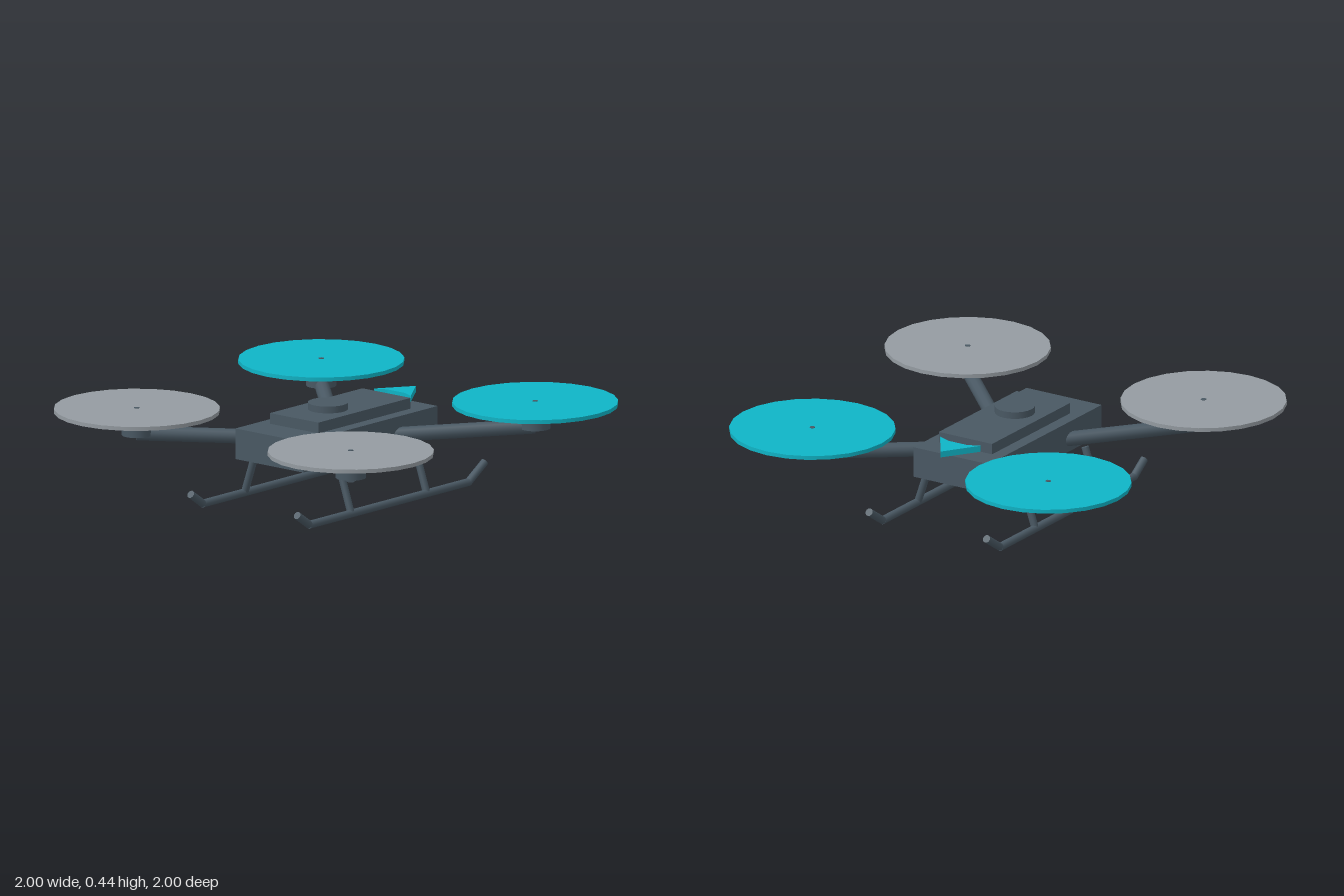
import * as THREE from 'three';

export function createModel() {
  const model = new THREE.Group();
  model.name = 'quadcopter';

  const material = (name, color) => {
    const m = new THREE.MeshStandardMaterial({ color });
    m.name = name;
    return m;
  };
  const slate = material('slate', 0x495863);
  const cyan = material('cyan', 0x0fb4c6);
  const grey = material('grey', 0x949ba1);

  const add = (name, geometry, mat, x = 0, y = 0, z = 0) => {
    const mesh = new THREE.Mesh(geometry, mat);
    mesh.name = name;
    mesh.position.set(x, y, z);
    model.add(mesh);
    return mesh;
  };

  // Round bar between two points
  const bar = (name, from, to, radius) => {
    const a = new THREE.Vector3(...from);
    const b = new THREE.Vector3(...to);
    const dir = b.clone().sub(a);
    const mesh = add(name, new THREE.CylinderGeometry(radius, radius, dir.length(), 12), slate);
    mesh.position.copy(a).add(b).multiplyScalar(0.5);
    mesh.quaternion.setFromUnitVectors(new THREE.Vector3(0, 1, 0), dir.normalize());
    return mesh;
  };

  // Body, raised deck and round sensor cap
  add('body', new THREE.BoxGeometry(0.4, 0.14, 0.915), slate, 0, 0.296, -0.003);
  add('deck', new THREE.BoxGeometry(0.284, 0.05, 0.63), slate, 0, 0.39, -0.03);
  add('sensorCap', new THREE.CylinderGeometry(0.09, 0.09, 0.032, 24), slate, 0, 0.43, 0.055);

  // Arrow marker pointing to the rear
  const arrow = new THREE.Shape([
    [0, 0.545], [-0.108, 0.385], [-0.05, 0.41], [0.05, 0.41], [0.108, 0.385],
  ].map(([x, y]) => new THREE.Vector2(x, y)));
  const arrowGeometry = new THREE.ExtrudeGeometry(arrow, { depth: 0.028, bevelEnabled: false });
  arrowGeometry.rotateX(-Math.PI / 2);
  add('rearArrow', arrowGeometry, cyan, 0, 0.384, 0);

  // Arms, motors and rotor discs at the four corners
  const r = 0.629;
  for (const sx of [-1, 1]) {
    for (const sz of [-1, 1]) {
      bar('arm', [sx * 0.15, 0.279, sz * 0.16], [sx * r, 0.31, sz * r], 0.033);
      add('motor', new THREE.CylinderGeometry(0.068, 0.068, 0.1, 20), slate, sx * r, 0.352, sz * r);
      add('shaft', new THREE.CylinderGeometry(0.013, 0.013, 0.04, 8), slate, sx * r, 0.407, sz * r);
      add('rotorDisc', new THREE.CylinderGeometry(0.371, 0.371, 0.018, 24),
        sz > 0 ? grey : cyan, sx * r, 0.416, sz * r);
    }
  }

  // Landing skids with upturned ends, each on two slanted legs
  for (const sx of [-1, 1]) {
    const x = sx * 0.313;
    bar('skid', [x, 0.021, -0.545], [x, 0.021, 0.55], 0.018);
    bar('skidFrontTip', [x, 0.021, 0.545], [x, 0.078, 0.628], 0.018);
    bar('skidRearTip', [x, 0.021, -0.54], [x, 0.093, -0.65], 0.018);
    for (const z of [-0.255, 0.26]) {
      bar('leg', [sx * 0.24, 0.235, z], [sx * 0.313, 0.02, z], 0.017);
    }
  }

  return model;
}
